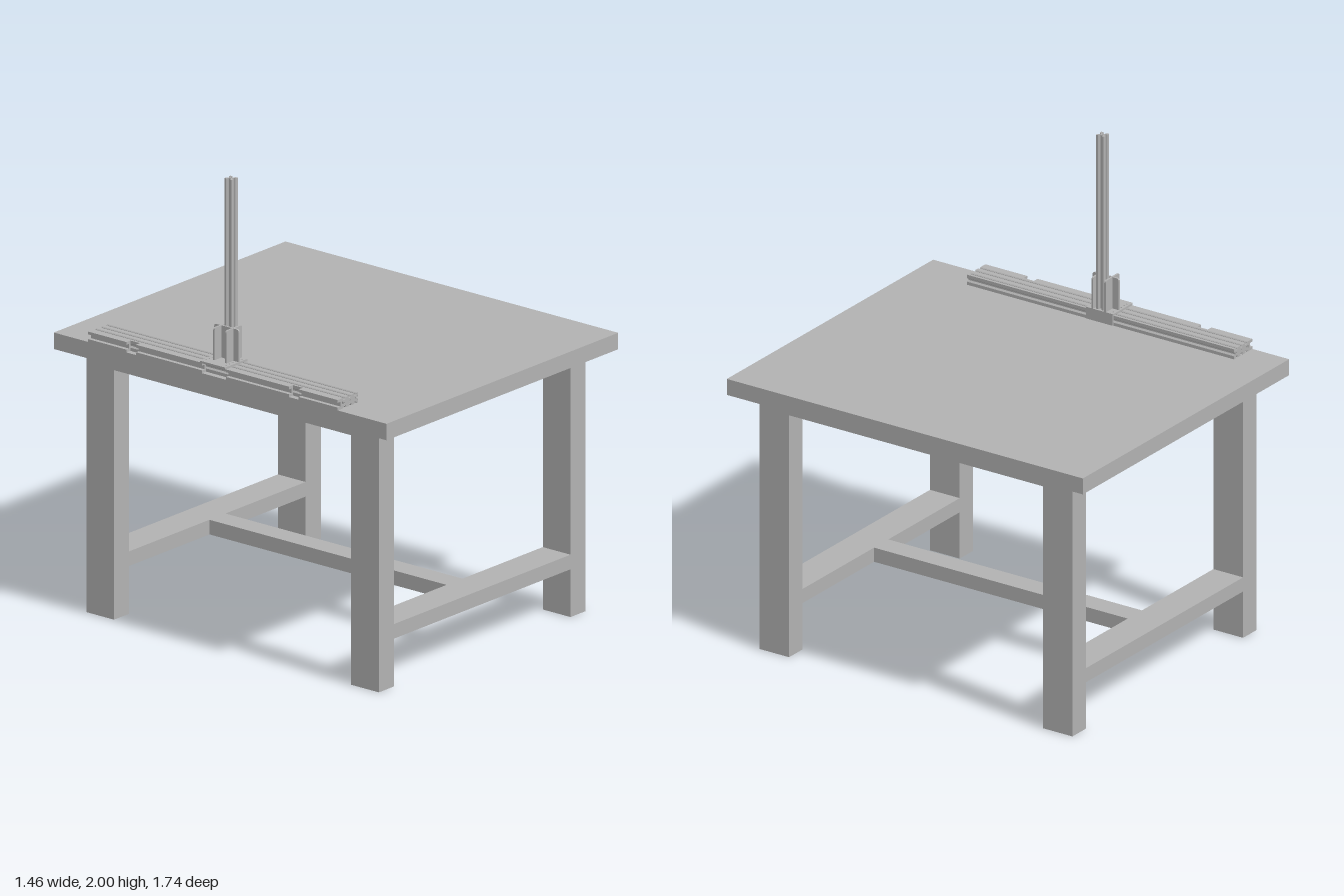
import * as THREE from 'three';

const grey = new THREE.MeshStandardMaterial({ color: 0xb2b2b2 });
grey.name = 'grey';

// Box given by its min and max on each axis
function box(name, x0, x1, y0, y1, z0, z1) {
  const mesh = new THREE.Mesh(new THREE.BoxGeometry(x1 - x0, y1 - y0, z1 - z0), grey);
  mesh.position.set((x0 + x1) / 2, (y0 + y1) / 2, (z0 + z1) / 2);
  mesh.name = name;
  return mesh;
}

// Slotted aluminium profile, nx by ny cells, extruded along z
function slottedBar(w, h, nx, ny, length) {
  // slot outline: offset from the cell centre and depth, in cell units
  const slot = [[-0.25, 0], [-0.15, 0.1], [-0.15, 0.14], [-0.28, 0.14], [-0.12, 0.3],
    [0.12, 0.3], [0.28, 0.14], [0.15, 0.14], [0.15, 0.1], [0.25, 0]];
  const s = Math.min(w / nx, h / ny);
  const pts = [];
  const sides = [
    [-w / 2, -h / 2, 1, 0, w, nx], [w / 2, -h / 2, 0, 1, h, ny],
    [w / 2, h / 2, -1, 0, w, nx], [-w / 2, h / 2, 0, -1, h, ny],
  ];
  for (const [x, y, dx, dy, len, n] of sides) {
    pts.push(new THREE.Vector2(x, y));
    for (let i = 0; i < n; i++) {
      const c = (i + 0.5) * len / n;
      for (const [a, d] of slot) {
        const t = c + a * s;
        pts.push(new THREE.Vector2(x + dx * t - dy * d * s, y + dy * t + dx * d * s));
      }
    }
  }
  const shape = new THREE.Shape(pts);
  for (let i = 0; i < nx; i++) {
    shape.holes.push(new THREE.Path().absarc((i + 0.5 - nx / 2) * w / nx, 0, s * 0.1, 0, Math.PI * 2, true));
  }
  return new THREE.ExtrudeGeometry(shape, { depth: length, bevelEnabled: false, curveSegments: 6 });
}

// Plate outline with rounded upper corners
function plateShape(u0, u1, v0, v1, r) {
  const s = new THREE.Shape();
  s.moveTo(u0, v0);
  s.lineTo(u1, v0);
  s.lineTo(u1, v1 - r);
  s.quadraticCurveTo(u1, v1, u1 - r, v1);
  s.lineTo(u0 + r, v1);
  s.quadraticCurveTo(u0, v1, u0, v1 - r);
  s.closePath();
  return s;
}

function createTable() {
  const table = new THREE.Group();
  table.name = 'table';
  table.add(box('tableTop', -0.725, 0.725, 1.115, 1.185, -0.87, 0.87));
  for (const s of [-1, 1]) {
    const span = (a, b) => (s > 0 ? [a, b] : [-b, -a]);
    const [x0, x1] = span(0.552, 0.647);
    const [z0, z1] = span(0.62, 0.765);
    for (const t of [-1, 1]) {
      const [a, b] = t > 0 ? [0.62, 0.765] : [-0.765, -0.62];
      table.add(box('leg', x0, x1, 0, 1.115, a, b));
    }
    // rails under the top
    table.add(box('sideApron', ...span(0.622, 0.647), 1.06, 1.115, -0.62, 0.62));
    table.add(box('endApron', -0.552, 0.552, 1.06, 1.115, ...span(0.74, 0.765)));
    table.add(box('endStretcher', -0.552, 0.552, 0.203, 0.265, z0, z1));
  }
  table.add(box('centreStretcher', -0.05, 0.05, 0.203, 0.265, -0.62, 0.62));
  return table;
}

function createSlide() {
  const slide = new THREE.Group();
  slide.name = 'linearSlide';

  // long rail lying on the table
  const rail = new THREE.Mesh(slottedBar(0.103, 0.044, 3, 1, 1.305), grey);
  rail.name = 'rail';
  rail.position.set(-0.6485, 1.207, -0.69);
  slide.add(rail);

  // interrupted outer strip beside the rail
  for (const [a, b] of [[-0.69, -0.49], [-0.44, -0.095], [0.03, 0.36], [0.41, 0.615]]) {
    slide.add(box('railLowerLip', -0.725, -0.699, 1.185, 1.197, a, b));
    slide.add(box('railUpperLip', -0.725, -0.699, 1.217, 1.229, a, b));
    slide.add(box('railWeb', -0.708, -0.699, 1.197, 1.217, a, b));
  }

  // carriage plate with bolt holes
  const shape = plateShape(-0.73, -0.59, -0.03, 0.103, 0.004);
  for (const x of [-0.705, -0.685, -0.665, -0.61]) {
    for (const v of [-0.015, 0.09]) {
      shape.holes.push(new THREE.Path().absarc(x, v, 0.004, 0, Math.PI * 2, true));
    }
  }
  const carriage = new THREE.Mesh(
    new THREE.ExtrudeGeometry(shape, { depth: 0.009, bevelEnabled: false, curveSegments: 4 }).rotateX(-Math.PI / 2), grey);
  carriage.name = 'carriagePlate';
  carriage.position.y = 1.229;
  slide.add(carriage);
  slide.add(box('carriageSide', -0.596, -0.59, 1.187, 1.229, -0.1, 0.03));

  // upright bracket: back plate plus two gussets
  const back = new THREE.Mesh(
    new THREE.ExtrudeGeometry(plateShape(-0.03, 0.098, 1.238, 1.375, 0.012),
      { depth: 0.008, bevelEnabled: false, curveSegments: 4 }).rotateY(Math.PI / 2), grey);
  back.name = 'bracketPlate';
  back.position.x = -0.645;
  slide.add(back);
  for (const z of [-0.068, -0.006]) {
    const gusset = new THREE.Mesh(
      new THREE.ExtrudeGeometry(plateShape(-0.687, -0.59, 1.238, 1.375, 0.01),
        { depth: 0.008, bevelEnabled: false, curveSegments: 4 }), grey);
    gusset.name = 'bracketGusset';
    gusset.position.z = z;
    slide.add(gusset);
  }

  // vertical post
  const post = new THREE.Mesh(slottedBar(0.038, 0.038, 1, 1, 0.762).rotateX(-Math.PI / 2), grey);
  post.name = 'post';
  post.position.set(-0.617, 1.238, -0.033);
  slide.add(post);
  return slide;
}

export function createModel() {
  const model = new THREE.Group();
  model.name = 'workbenchWithSlide';
  model.add(createTable(), createSlide());
  return model;
}
